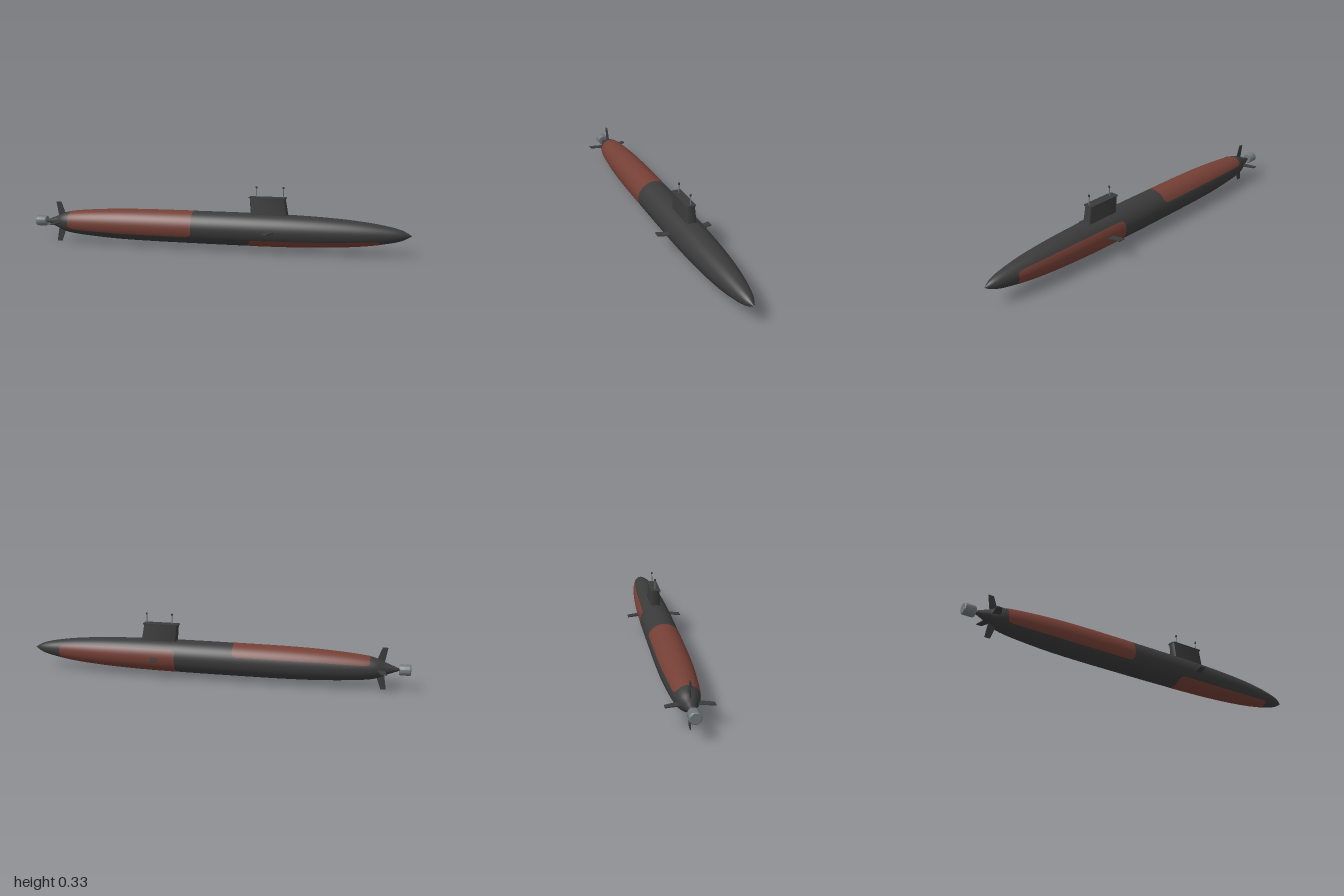
import * as THREE from 'three';
import { toCreasedNormals } from 'three/addons/utils/BufferGeometryUtils.js';

const AXIS = 0.108; // height of the hull centreline
const mat = (name, color, side = THREE.FrontSide) => {
  const m = new THREE.MeshStandardMaterial({ color, side });
  m.name = name;
  return m;
};

export function createModel() {
  const model = new THREE.Group();
  model.name = 'submarine';
  const dark = mat('charcoal', 0x3a3a3a);
  const red = mat('rustRed', 0x743f35, THREE.DoubleSide);
  const grey = mat('steelGrey', 0x70777b);

  const add = (name, geo, material, x = 0, y = 0, z = 0, parent = model) => {
    const m = new THREE.Mesh(geo, material);
    m.name = name;
    m.position.set(x, y, z);
    parent.add(m);
    return m;
  };

  // Hull: (radius, x) profile turned about the long axis
  const knots = [[0.005, -0.945], [0.03, -0.88], [0.058, -0.8], [0.076, -0.6], [0.083, -0.4],
    [0.085, -0.1], [0.085, 0.15], [0.082, 0.4], [0.074, 0.6], [0.061, 0.76], [0.043, 0.88],
    [0.025, 0.95], [0, 0.995]].map(([r, x]) => new THREE.Vector2(r, x));
  const profile = new THREE.SplineCurve(knots).getPoints(96);
  profile[profile.length - 1].x = 0;
  profile.unshift(new THREE.Vector2(0, -0.945));
  add('hull', new THREE.LatheGeometry(profile, 72).rotateZ(-Math.PI / 2), dark, 0, AXIS);

  const radiusAt = (x) => {
    const i = Math.max(2, profile.findIndex((p) => p.y >= x));
    const a = profile[i - 1], b = profile[i];
    return THREE.MathUtils.lerp(a.x, b.x, (x - a.y) / (b.y - a.y));
  };

  // Red half-shell panels with rounded corners; angles run from +z up over the top
  const panel = (name, x0, x1, deg0, deg1) => {
    const nu = 48, nv = 72, corner = 0.025, pos = [], index = [];
    for (let j = 0; j <= nv; j++) {
      const t = j / nv;
      const a = THREE.MathUtils.degToRad(THREE.MathUtils.lerp(deg0, deg1, t));
      const edge = Math.min(t, 1 - t) * THREE.MathUtils.degToRad(deg1 - deg0) * 0.08;
      const k = Math.max(0, corner - edge);
      const inset = corner - Math.sqrt(corner * corner - k * k);
      for (let i = 0; i <= nu; i++) {
        const x = THREE.MathUtils.lerp(x0 + inset, x1 - inset, i / nu);
        const r = radiusAt(x) + 0.0008;
        pos.push(x, AXIS + Math.sin(a) * r, Math.cos(a) * r);
        if (i < nu && j < nv) {
          const p = j * (nu + 1) + i, q = p + nu + 1;
          index.push(p, p + 1, q, p + 1, q + 1, q);
        }
      }
    }
    const g = new THREE.BufferGeometry();
    g.setAttribute('position', new THREE.Float32BufferAttribute(pos, 3));
    g.setIndex(index);
    g.computeVertexNormals();
    add(name, g, red);
  };
  panel('aftPanel', -0.8, -0.11, -30, 158);
  panel('forePanel', 0.19, 0.84, 145, 328);

  // Rounded bar with a vertical taper, used for the sail and its rim
  const roundedBar = (len, width, height, corner) => {
    const s = new THREE.Shape(), l = len / 2, w = width / 2, c = corner;
    s.moveTo(-l + c, -w).lineTo(l - c, -w).quadraticCurveTo(l, -w, l, -w + c);
    s.lineTo(l, w - c).quadraticCurveTo(l, w, l - c, w);
    s.lineTo(-l + c, w).quadraticCurveTo(-l, w, -l, w - c);
    s.lineTo(-l, -w + c).quadraticCurveTo(-l, -w, -l + c, -w);
    return new THREE.ExtrudeGeometry(s, { depth: height, bevelEnabled: false, curveSegments: 8 })
      .rotateX(-Math.PI / 2);
  };

  // Sail: narrower at the top, leaning slightly aft
  const sail = new THREE.Group();
  sail.name = 'sail';
  model.add(sail);
  const tower = roundedBar(0.192, 0.054, 0.124, 0.014);
  const tp = tower.attributes.position;
  for (let i = 0; i < tp.count; i++) {
    const t = tp.getY(i) / 0.124;
    tp.setX(i, tp.getX(i) * (1 - 0.06 * t) - 0.016 * t);
    tp.setZ(i, tp.getZ(i) * (1 - 0.2 * t));
  }
  add('sailTower', toCreasedNormals(tower, 0.7), dark, 0.293, 0.15, 0, sail);
  add('sailRim', toCreasedNormals(roundedBar(0.19, 0.05, 0.004, 0.008), 0.7), dark, 0.278, 0.273, 0, sail);

  // Two masts with dark heads
  for (const x of [0.22, 0.357]) {
    add('mast', new THREE.CylinderGeometry(0.0025, 0.0025, 0.055, 12), grey, x, 0.299, 0, sail);
    add('mastHead', new THREE.CylinderGeometry(0.005, 0.005, 0.009, 12), dark, x, 0.3265, 0, sail);
  }

  // Swept fin in the x-y plane, reaching outward along +y from the axis
  const fin = (points, thick) => {
    const s = new THREE.Shape(points.map(([x, y]) => new THREE.Vector2(x, y)));
    return new THREE.ExtrudeGeometry(s, { depth: thick, bevelEnabled: false }).translate(0, 0, -thick / 2);
  };

  // Cross-shaped tail fins
  const tailFin = fin([[-0.866, 0], [-0.818, 0], [-0.857, 0.108], [-0.884, 0.108]], 0.004);
  for (let i = 0; i < 4; i++) {
    add('tailFin', tailFin, dark, 0, AXIS).rotation.x = (i * Math.PI) / 2;
  }

  // Forward diving planes
  const plane = fin([[0.285, 0.06], [0.328, 0.06], [0.298, 0.144], [0.264, 0.144]], 0.005);
  for (const side of [1, -1]) {
    add('divingPlane', plane, dark, 0, AXIS).rotation.x = (side * Math.PI) / 2;
  }

  // Propulsor: short drum with softened rims
  const drum = [[0, -1], [0.024, -1], [0.028, -0.995], [0.028, -0.95], [0.025, -0.943], [0, -0.943]]
    .map(([r, x]) => new THREE.Vector2(r, x));
  const drumGeo = toCreasedNormals(new THREE.LatheGeometry(drum, 32).rotateZ(-Math.PI / 2), 0.5);
  add('propulsor', drumGeo, grey, 0, AXIS);

  return model;
}
